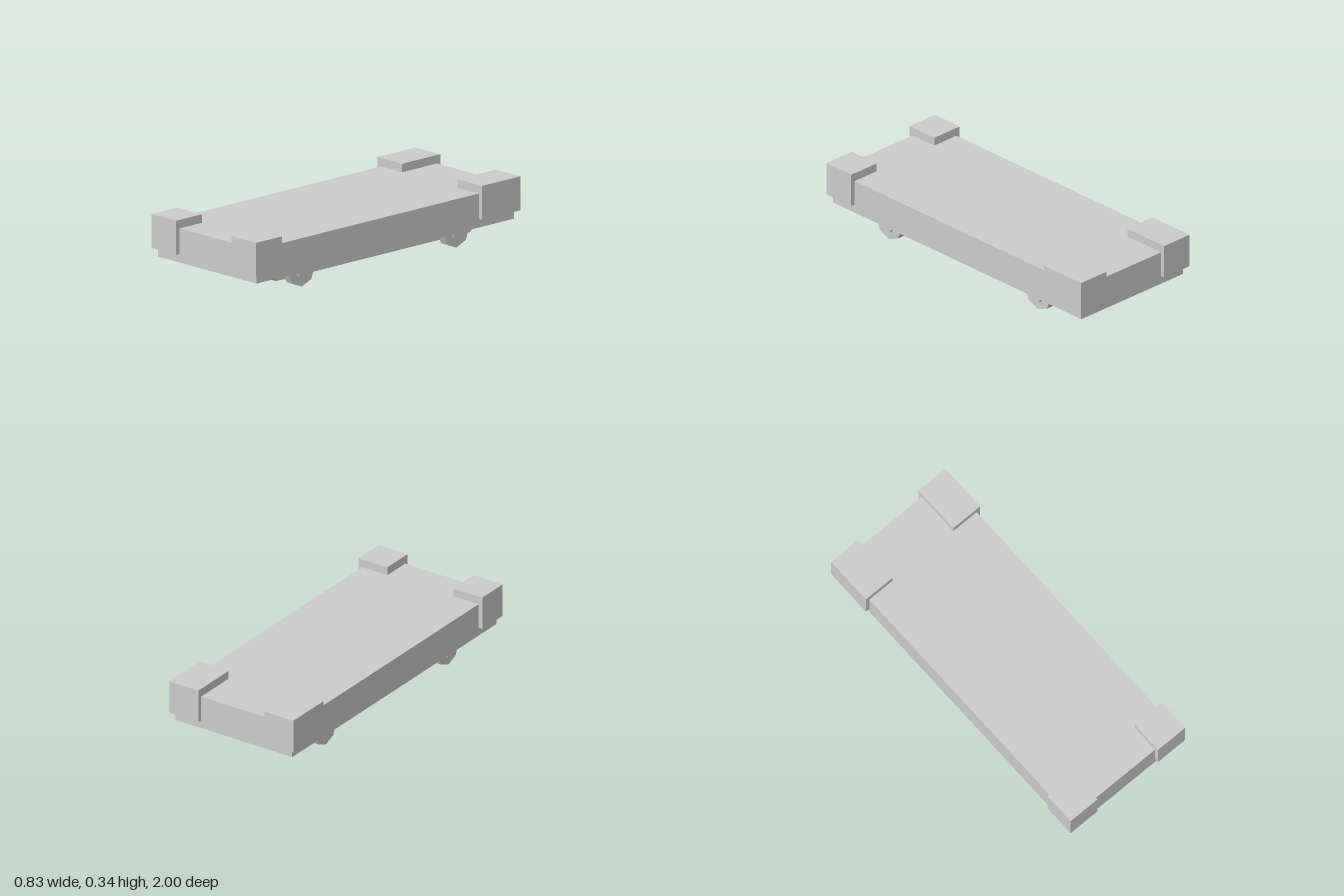
import * as THREE from 'three';

const material = new THREE.MeshStandardMaterial({ color: 0xcccccc, flatShading: true });

function add(parent, name, geometry, x, y, z) {
  const mesh = new THREE.Mesh(geometry, material);
  mesh.name = name;
  mesh.position.set(x, y, z);
  parent.add(mesh);
  return mesh;
}

export function createModel() {
  const model = new THREE.Group();
  model.name = 'flatbedCart';

  // Main slab
  add(model, 'deck', new THREE.BoxGeometry(0.778, 0.193, 1.95), 0, 0.1965, 0);

  // Underframe with sloping ends, profile drawn in z/y and extruded across x
  const profile = new THREE.Shape([
    new THREE.Vector2(-0.784, 0.1), new THREE.Vector2(-0.734, 0.05),
    new THREE.Vector2(0.734, 0.05), new THREE.Vector2(0.784, 0.1),
  ]);
  const frame = new THREE.ExtrudeGeometry(profile, { depth: 0.586, bevelEnabled: false });
  frame.translate(0, 0, -0.293).rotateY(Math.PI / 2);
  add(model, 'underframe', frame, 0, 0, 0);

  // Eight-sided wheels and hubs lying along x
  const disc = (radius, width) => new THREE.CylinderGeometry(radius, radius, width, 8).rotateZ(Math.PI / 2);

  for (const side of [1, -1]) {
    // Corner blocks, longer at the back
    add(model, 'frontCornerBlock', new THREE.BoxGeometry(0.194, 0.193, 0.195), side * 0.317, 0.2445, 0.9025);
    add(model, 'backCornerBlock', new THREE.BoxGeometry(0.194, 0.193, 0.29), side * 0.317, 0.2445, -0.855);

    for (const end of [1, -1]) {
      const wheel = new THREE.Group();
      wheel.name = end > 0 ? 'frontWheel' : 'backWheel';
      wheel.position.set(side * 0.317, 0.1, end * 0.585);
      add(wheel, 'tyre', disc(0.1, 0.048), 0, 0, 0);
      add(wheel, 'hub', disc(0.05, 0.03), side * 0.034, 0, 0);
      model.add(wheel);
    }
  }
  return model;
}
